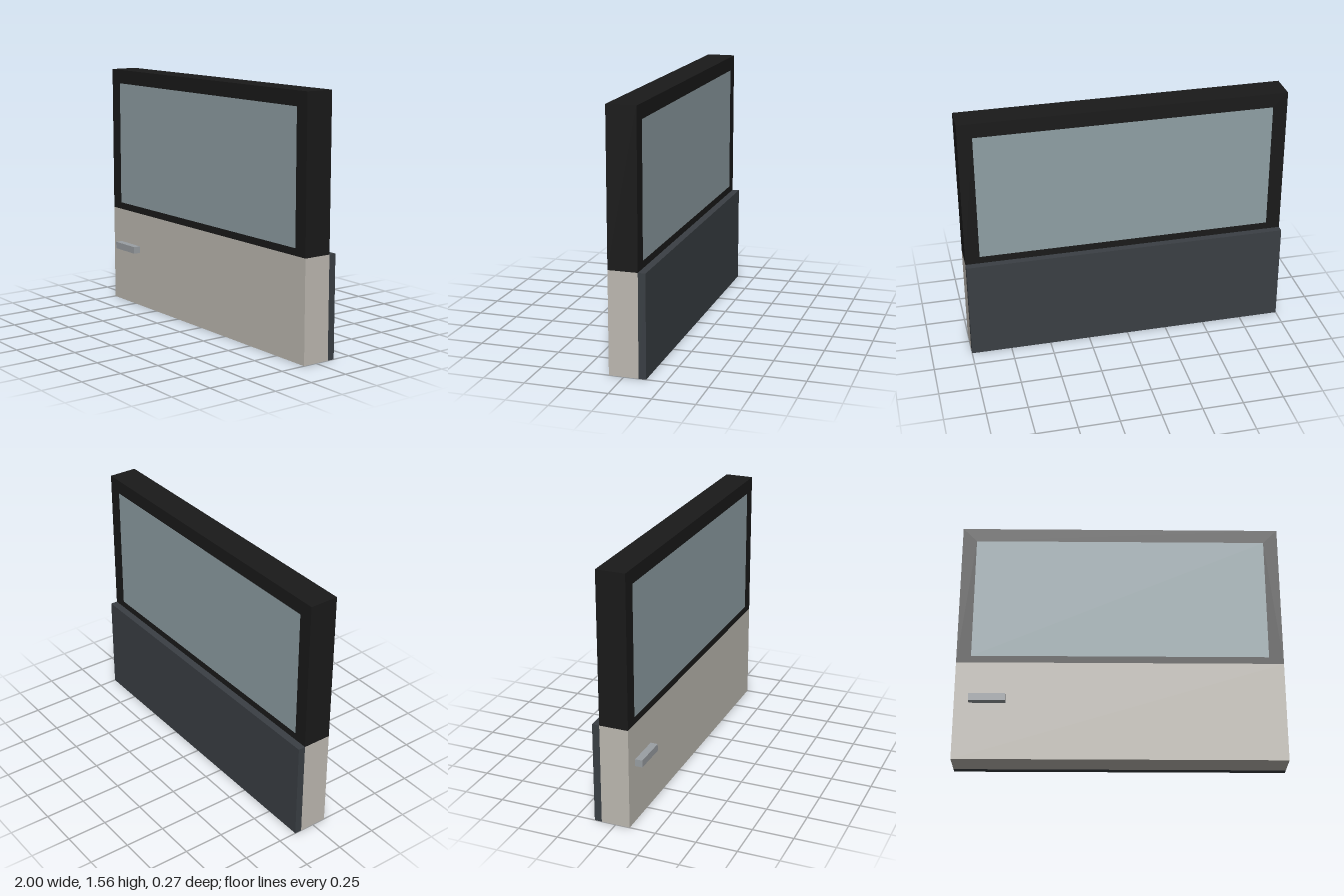
import * as THREE from 'three';

const DEPTH = 0.178;   // door thickness
const SILL = 0.624;    // top of the lower door body
const TOP = 1.558;

export function createModel() {
  const door = new THREE.Group();
  door.name = 'door';

  const add = (name, geometry, color) => {
    const mesh = new THREE.Mesh(geometry, new THREE.MeshStandardMaterial({ color }));
    mesh.name = name;
    door.add(mesh);
  };
  // Box given by its limits on each axis
  const box = (x0, x1, y0, y1, z0, z1) =>
    new THREE.BoxGeometry(x1 - x0, y1 - y0, z1 - z0)
      .translate((x0 + x1) / 2, (y0 + y1) / 2, (z0 + z1) / 2);
  const rectangle = (Type, x, y0, y1) => new Type([
    new THREE.Vector2(-x, y0), new THREE.Vector2(x, y0),
    new THREE.Vector2(x, y1), new THREE.Vector2(-x, y1),
  ]);

  const half = DEPTH / 2;
  const trim = 0.045;

  // Lower body
  add('doorBody', box(-1, 1, 0, SILL, -half, half), 0xbebab2);

  // Window frame with its opening
  const frame = rectangle(THREE.Shape, 1, SILL, TOP);
  frame.holes.push(rectangle(THREE.Path, 0.911, 0.668, 1.469));
  add('windowFrame', new THREE.ExtrudeGeometry(frame, { depth: DEPTH, bevelEnabled: false })
    .translate(0, 0, -half), 0x1a1a1a);

  // Pane, flush with the frame on both sides
  add('windowGlass', box(-0.911, 0.911, 0.668, 1.469, -half, half), 0x8f9fa4);

  // Inner trim panel on the back
  add('innerPanel', box(-1, 1, 0, SILL, -half - trim, -half), 0x3a3f44);

  // Pull handle on the front
  add('handle', box(-0.911, -0.69, 0.358, 0.402, half, half + trim), 0x9a9fa3);

  return door;
}
